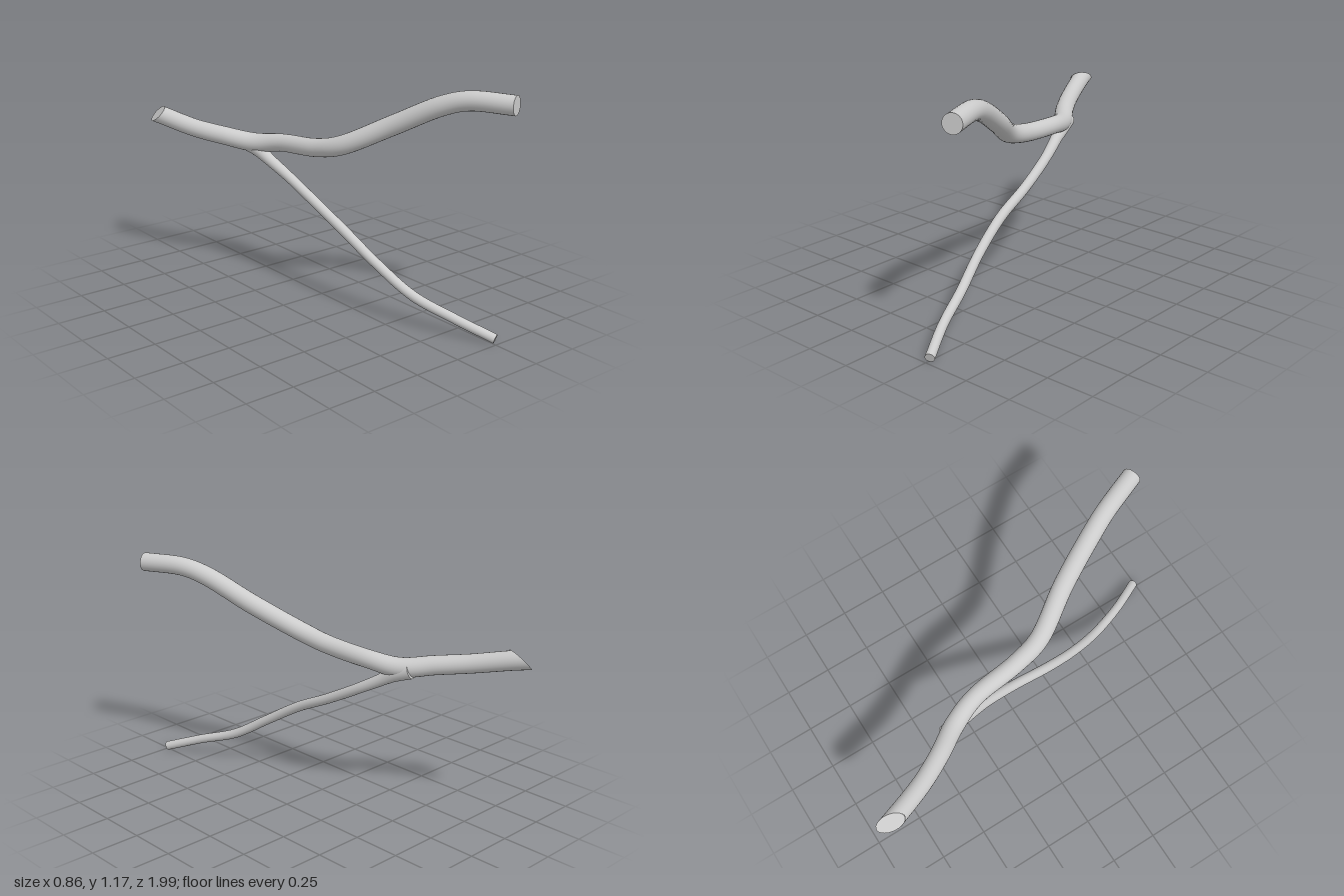
import * as THREE from 'three';
import { mergeGeometries } from 'three/addons/utils/BufferGeometryUtils.js';

const SIDES = 24;

// Flat fan closing one ring of a tube
function capGeometry(pos, start, flip) {
  const ring = [];
  for (let j = 0; j <= SIDES; j++) ring.push(new THREE.Vector3().fromBufferAttribute(pos, start + j));
  const centre = new THREE.Vector3();
  ring.slice(0, SIDES).forEach(p => centre.addScaledVector(p, 1 / SIDES));
  const pts = [];
  for (let j = 0; j < SIDES; j++) {
    pts.push(centre, ...(flip ? [ring[j + 1], ring[j]] : [ring[j], ring[j + 1]]));
  }
  const geo = new THREE.BufferGeometry().setFromPoints(pts);
  geo.computeVertexNormals();
  return geo;
}

// Tapered tube through stations [x, y, z, radius]; cut = plane that trims it obliquely
function limb(name, stations, segments, material, cut) {
  const curve = new THREE.CatmullRomCurve3(stations.map(s => new THREE.Vector3(s[0], s[1], s[2])));
  const tube = new THREE.TubeGeometry(curve, segments, 1, SIDES);
  const pos = tube.attributes.position;
  const v = new THREE.Vector3();
  for (let i = 0; i <= segments; i++) {
    const u = i / segments;
    const c = curve.getPointAt(u);
    const tangent = curve.getTangentAt(u);
    const f = curve.getUtoTmapping(u) * (stations.length - 1);
    const k = Math.min(Math.floor(f), stations.length - 2);
    const r = THREE.MathUtils.lerp(stations[k][3], stations[k + 1][3], f - k);
    for (let j = 0; j <= SIDES; j++) {
      const id = i * (SIDES + 1) + j;
      v.fromBufferAttribute(pos, id).sub(c).multiplyScalar(r).add(c);
      // Slide anything beyond the cut back along the limb
      if (cut && u < 0.25) {
        const d = cut.distanceToPoint(v);
        if (d > 0) v.addScaledVector(tangent, -d / cut.normal.dot(tangent));
      }
      pos.setXYZ(id, v.x, v.y, v.z);
    }
  }
  const geo = mergeGeometries([
    tube.toNonIndexed(),
    withUv(capGeometry(pos, 0, false)),
    withUv(capGeometry(pos, segments * (SIDES + 1), true)),
  ]);
  const mesh = new THREE.Mesh(geo, material);
  mesh.name = name;
  return mesh;
}

// Blank uvs so caps merge with the tube
function withUv(geo) {
  const n = geo.attributes.position.count;
  geo.setAttribute('uv', new THREE.BufferAttribute(new Float32Array(n * 2), 2));
  return geo;
}

export function createModel() {
  const group = new THREE.Group();
  group.name = 'forkedBranch';
  const material = new THREE.MeshStandardMaterial({ color: 0xcccccc });

  // Thick limb running back to front, sliced at a slant at the back
  const slant = new THREE.Plane().setFromNormalAndCoplanarPoint(
    new THREE.Vector3(-0.65, 0.6, -0.3).normalize(), new THREE.Vector3(-0.4, 0.855, -0.92));
  group.add(limb('mainLimb', [
    [-0.442, 0.873, -1.03, 0.048],
    [-0.4, 0.855, -0.92, 0.048],
    [-0.305, 0.805, -0.7, 0.047],
    [-0.22, 0.78, -0.55, 0.048],
    [-0.125, 0.757, -0.41, 0.05],
    [-0.065, 0.777, -0.26, 0.046],
    [-0.032, 0.8, 0, 0.047],
    [0.0, 0.838, 0.15, 0.049],
    [0.135, 0.965, 0.38, 0.05],
    [0.24, 1.085, 0.6, 0.049],
    [0.295, 1.123, 0.72, 0.048],
    [0.385, 1.127, 0.935, 0.048],
  ], 90, material, slant));

  // Thin offshoot, flared where it leaves the main limb
  group.add(limb('offshoot', [
    [-0.14, 0.752, -0.47, 0.042],
    [-0.113, 0.722, -0.39, 0.04],
    [-0.098, 0.684, -0.33, 0.031],
    [-0.064, 0.61, -0.2, 0.027],
    [-0.034, 0.505, 0, 0.026],
    [-0.016, 0.41, 0.2, 0.026],
    [0.022, 0.29, 0.4, 0.025],
    [0.085, 0.168, 0.6, 0.025],
    [0.165, 0.098, 0.8, 0.024],
    [0.262, 0.029, 0.985, 0.024],
  ], 60, material));

  return group;
}
